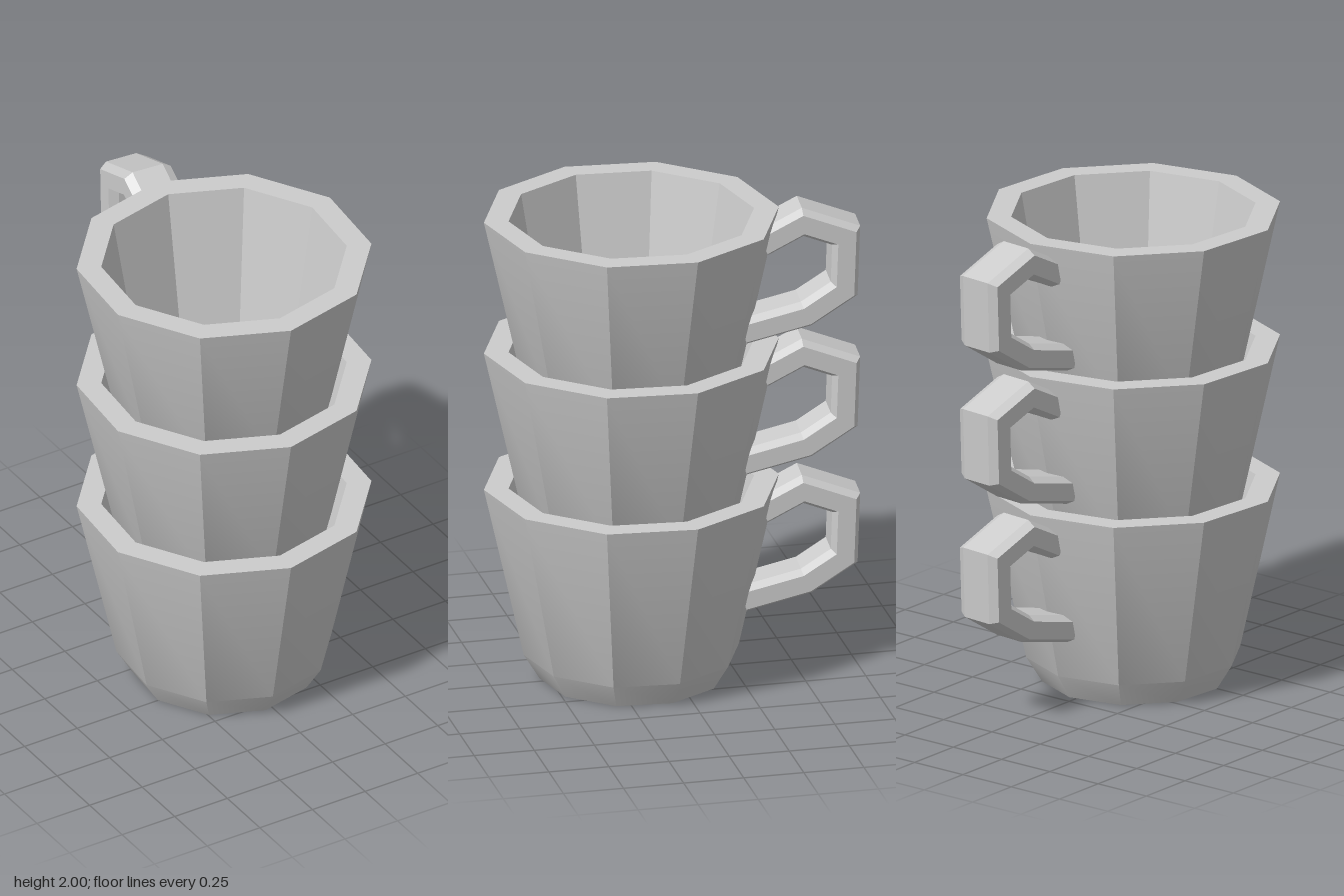
import * as THREE from 'three';
import { toCreasedNormals } from 'three/addons/utils/BufferGeometryUtils.js';

const v2 = (x, y) => new THREE.Vector2(x, y);

// Ten-sided cup: base, bevelled foot, outer wall, flat rim, inner wall, floor
function cupGeometry() {
  const profile = [
    v2(0, 0), v2(0.375, 0), v2(0.44, 0.105), v2(0.603, 0.83),
    v2(0.502, 0.83), v2(0.37, 0.1), v2(0, 0.1),
  ];
  const lathe = new THREE.LatheGeometry(profile, 10, Math.PI / 2);
  return toCreasedNormals(lathe, THREE.MathUtils.degToRad(33));
}

// Handle: flattened octagon swept with mitred bends along a path in the xy plane
function handleGeometry() {
  const path = [
    v2(0.447, 0.325), v2(0.705, 0.388), v2(0.86, 0.488),
    v2(0.868, 0.717), v2(0.69, 0.785), v2(0.525, 0.7),
  ];
  const t = 0.056, w = 0.105, k = 0.65;
  const section = [
    [t, -w * k], [t, w * k], [t * k, w], [-t * k, w],
    [-t, w * k], [-t, -w * k], [-t * k, -w], [t * k, -w],
  ];
  const n = section.length, last = path.length - 1;
  const positions = [], index = [];
  path.forEach((p, i) => {
    const into = path[Math.max(i, 1)].clone().sub(path[Math.max(i, 1) - 1]).normalize();
    const j = Math.min(i, last - 1);
    const out = path[j + 1].clone().sub(path[j]).normalize();
    const dir = into.clone().add(out).normalize();
    const miter = 1 / dir.dot(out);
    for (const [a, b] of section) {
      positions.push(p.x - dir.y * a * miter, p.y + dir.x * a * miter, b);
    }
  });
  for (let i = 0; i < last; i++) {
    for (let j = 0; j < n; j++) {
      const a = i * n + j, b = i * n + (j + 1) % n;
      index.push(a, b, b + n, a, b + n, a + n);
    }
  }
  // End caps
  const e = last * n;
  for (let j = 1; j < n - 1; j++) index.push(0, j + 1, j, e, e + j, e + j + 1);

  const geometry = new THREE.BufferGeometry();
  geometry.setAttribute('position', new THREE.Float32BufferAttribute(positions, 3));
  geometry.setIndex(index);
  const flat = geometry.toNonIndexed();
  flat.computeVertexNormals();
  return flat;
}

export function createModel() {
  const model = new THREE.Group();
  model.name = 'mugStack';
  const material = new THREE.MeshStandardMaterial({ color: 0xcccccc });
  const cupShape = cupGeometry(), handleShape = handleGeometry();

  // Three nested mugs, handles turned the same way
  [0, 0.59, 1.157].forEach((y, i) => {
    const mug = new THREE.Group();
    mug.name = 'mug' + (i + 1);
    const cup = new THREE.Mesh(cupShape, material);
    cup.name = 'cup';
    const handle = new THREE.Mesh(handleShape, material);
    handle.name = 'handle';
    handle.rotation.y = THREE.MathUtils.degToRad(72);
    mug.add(cup, handle);
    mug.position.set(0, y, 0.165);
    mug.rotation.y = THREE.MathUtils.degToRad(13);
    model.add(mug);
  });
  return model;
}
